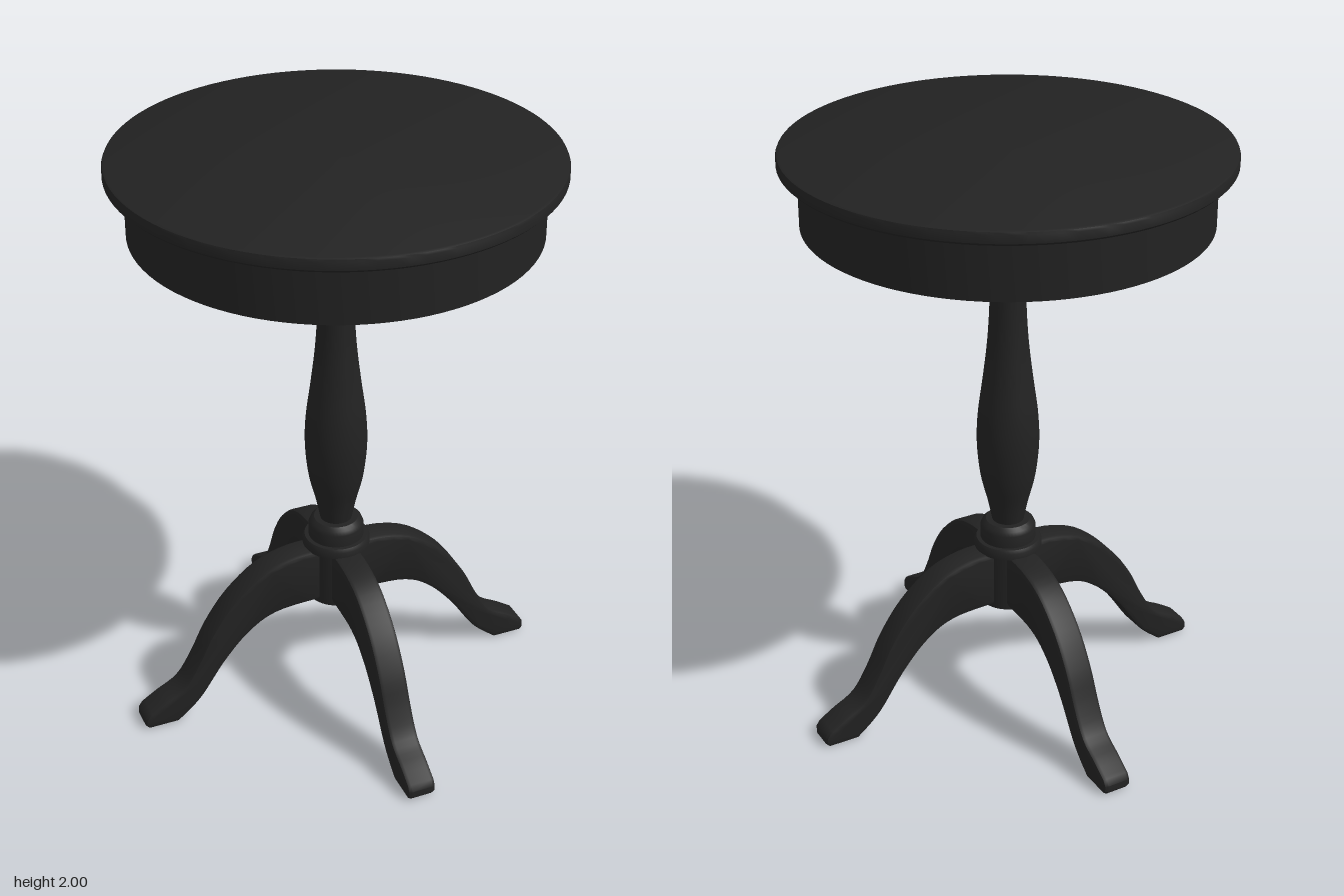
import * as THREE from 'three';
import { toCreasedNormals } from 'three/addons/utils/BufferGeometryUtils.js';

const black = new THREE.MeshStandardMaterial({ color: 0x222222 });
black.name = 'black paint';

const vec = ([x, y]) => new THREE.Vector2(x, y);

// Smooth curve through a few points
const spline = (points, n) => new THREE.SplineCurve(points.map(vec)).getPoints(n);

function addMesh(parent, name, geometry) {
  const mesh = new THREE.Mesh(toCreasedNormals(geometry, 0.6), black);
  mesh.name = name;
  parent.add(mesh);
  return mesh;
}

// Turned part; profile runs from the bottom up as [radius, height]
const turned = (parent, name, profile, sides = 48) =>
  addMesh(parent, name, new THREE.LatheGeometry(profile.map((p) => (p.isVector2 ? p : vec(p))), sides));

// Half-round bead on a turned profile
function bead(radius, y, height, bulge) {
  return Array.from({ length: 9 }, (_, i) => {
    const a = -Math.PI / 2 + (i * Math.PI) / 8;
    return [radius + bulge * Math.cos(a), y + (height / 2) * Math.sin(a)];
  });
}

// Side outline of a curved leg, x pointing outwards
function legGeometry() {
  const upper = spline([[0.05, 0.57], [0.17, 0.567], [0.285, 0.53], [0.395, 0.44],
    [0.475, 0.33], [0.53, 0.22], [0.585, 0.135], [0.66, 0.09], [0.715, 0.055]], 32);
  const toe = [[0.728, 0.035], [0.728, 0.012], [0.718, 0]].map(vec);
  const lower = spline([[0.61, 0], [0.525, 0.075], [0.43, 0.21], [0.335, 0.31],
    [0.23, 0.362], [0.05, 0.372]], 28);
  const outline = [...upper, ...toe, ...lower].reverse();
  const width = 0.1, bevel = 0.014;
  const geometry = new THREE.ExtrudeGeometry(new THREE.Shape(outline), {
    depth: width - 2 * bevel, bevelEnabled: true, bevelThickness: bevel,
    bevelSize: bevel, bevelOffset: -bevel, bevelSegments: 2,
  });
  return geometry.translate(0, 0, bevel - width / 2);
}

export function createModel() {
  const table = new THREE.Group();
  table.name = 'pedestalTable';

  // Round top with softened rim, and the drum below it
  turned(table, 'tableTop', [[0, 1.955], [0.707, 1.955], [0.715, 1.963], [0.715, 1.99],
    [0.712, 1.997], [0.705, 2], [0, 2]], 96);
  turned(table, 'apron', [[0, 1.76], [0.653, 1.76], [0.653, 1.956]], 96);

  // Pedestal: vase-shaped shaft, rings and top block
  turned(table, 'shaft', spline([[0.052, 0.66], [0.068, 0.74], [0.092, 0.84], [0.104, 0.96],
    [0.1, 1.07], [0.083, 1.2], [0.068, 1.33], [0.06, 1.46], [0.06, 1.56], [0.07, 1.605]], 40));
  turned(table, 'lowerRing', [[0, 1.597], ...bead(0.066, 1.622, 0.05, 0.024), [0, 1.647]]);
  turned(table, 'upperRing', [[0, 1.645], ...bead(0.066, 1.66, 0.03, 0.016), [0, 1.675]]);
  turned(table, 'topBlock', [[0, 1.672], [0.085, 1.672], [0.098, 1.678], [0.105, 1.69], [0.105, 1.762]]);

  // Hub that carries the legs
  turned(table, 'collar', [[0.094, 0.6], [0.094, 0.645], [0.088, 0.66], [0.075, 0.671], [0, 0.671]]);
  turned(table, 'hubRim', [[0, 0.568], [0.115, 0.568], [0.115, 0.59], [0.108, 0.602], [0, 0.602]]);
  turned(table, 'hub', [[0, 0.36], [0.097, 0.36], [0.097, 0.57]]);

  // Four legs, turned slightly from the axes
  const leg = legGeometry();
  for (let i = 0; i < 4; i++) {
    addMesh(table, 'leg' + (i + 1), leg).rotation.y = -0.22 + (i * Math.PI) / 2;
  }
  return table;
}
